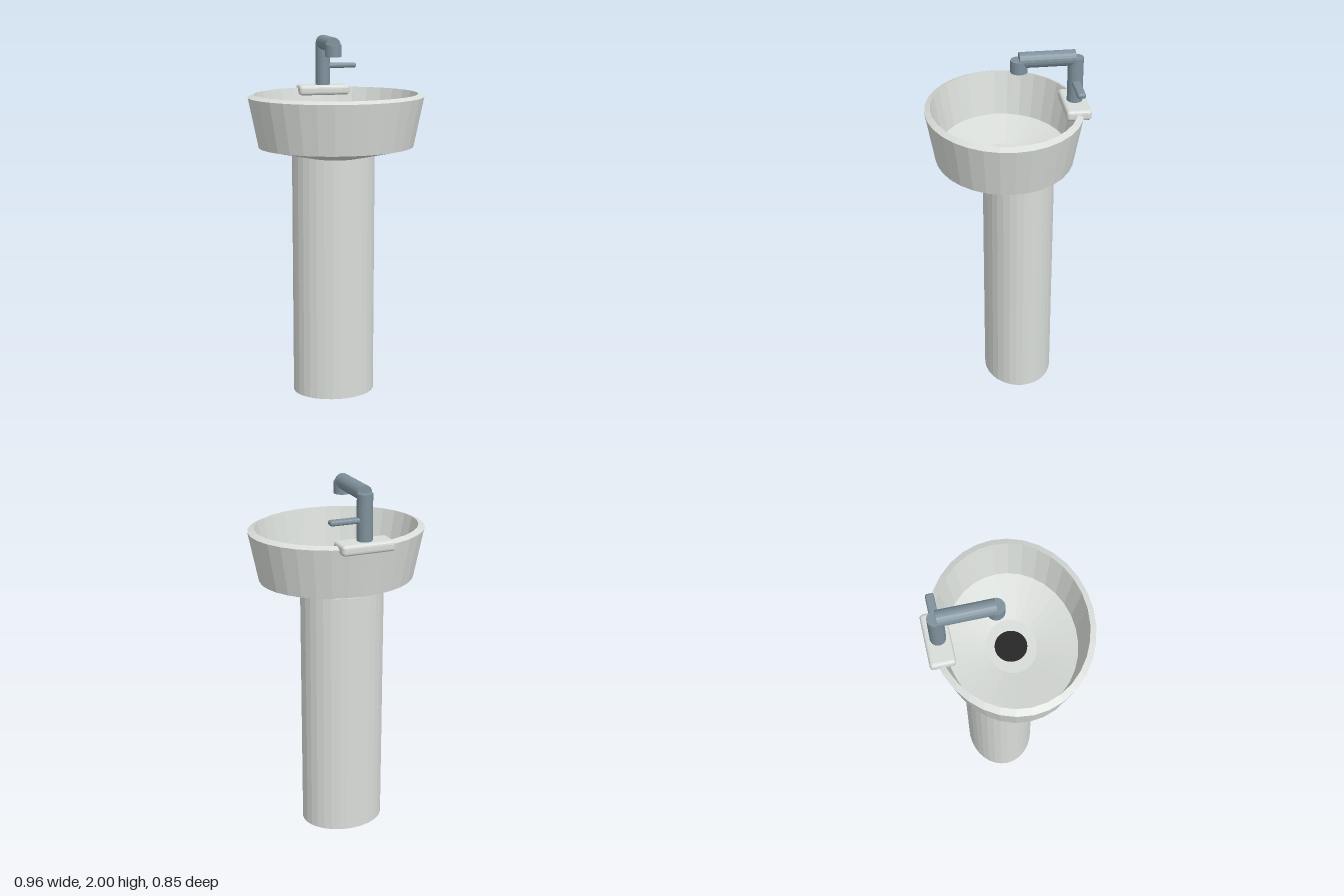
import * as THREE from 'three';
import { RoundedBoxGeometry } from 'three/addons/geometries/RoundedBoxGeometry.js';

const material = (name, color) => {
  const m = new THREE.MeshStandardMaterial({ color, flatShading: true });
  m.name = name;
  return m;
};

export function createModel() {
  const porcelain = material('porcelain', 0xd9ddd9);
  const steel = material('brushed steel', 0x7f919c);
  const black = material('drain black', 0x222222);

  const model = new THREE.Group();
  model.name = 'pedestalSink';

  const add = (parent, name, geometry, mat, x, y, z) => {
    const mesh = new THREE.Mesh(geometry, mat);
    mesh.name = name;
    mesh.position.set(x, y, z);
    parent.add(mesh);
    return mesh;
  };

  // Oval column
  const pedestal = add(model, 'pedestal',
    new THREE.CylinderGeometry(0.23, 0.23, 1.38, 32), porcelain, 0, 0.69, -0.067);
  pedestal.scale.z = 0.192 / 0.23;

  // Basin: underside, outer wall, sloped rim, inner wall, sloping floor
  const profile = [
    [0, 1.36], [0.145, 1.36], [0.425, 1.42], [0.48, 1.69], [0.445, 1.705],
    [0.392, 1.465], [0.15, 1.405], [0, 1.40],
  ].map(([r, y]) => new THREE.Vector2(r, y));
  const basin = add(model, 'basin', new THREE.LatheGeometry(profile, 32), porcelain, 0, 0, 0.01);
  basin.scale.z = 0.866;

  // Drain plate
  add(model, 'drain', new THREE.CylinderGeometry(0.085, 0.085, 0.009, 32), black, 0, 1.406, 0.006);

  // Ledge carrying the tap
  add(model, 'tapLedge', new RoundedBoxGeometry(0.29, 0.056, 0.132, 2, 0.018), porcelain,
    0, 1.692, -0.363);

  // Tap: upright, horizontal spout, nozzle and side lever
  const tap = new THREE.Group();
  tap.name = 'tap';
  model.add(tap);
  add(tap, 'tapBody', new THREE.CylinderGeometry(0.041, 0.041, 0.25, 20), steel, 0, 1.835, -0.361);
  const spout = add(tap, 'spout',
    new THREE.CylinderGeometry(0.041, 0.041, 0.29, 20), steel, 0, 1.959, -0.212);
  spout.rotation.x = Math.PI / 2;
  add(tap, 'nozzle', new THREE.CylinderGeometry(0.045, 0.045, 0.065, 20), steel, 0, 1.928, -0.067);
  add(tap, 'lever', new RoundedBoxGeometry(0.17, 0.028, 0.045, 2, 0.012), steel,
    0.107, 1.827, -0.361);

  return model;
}
